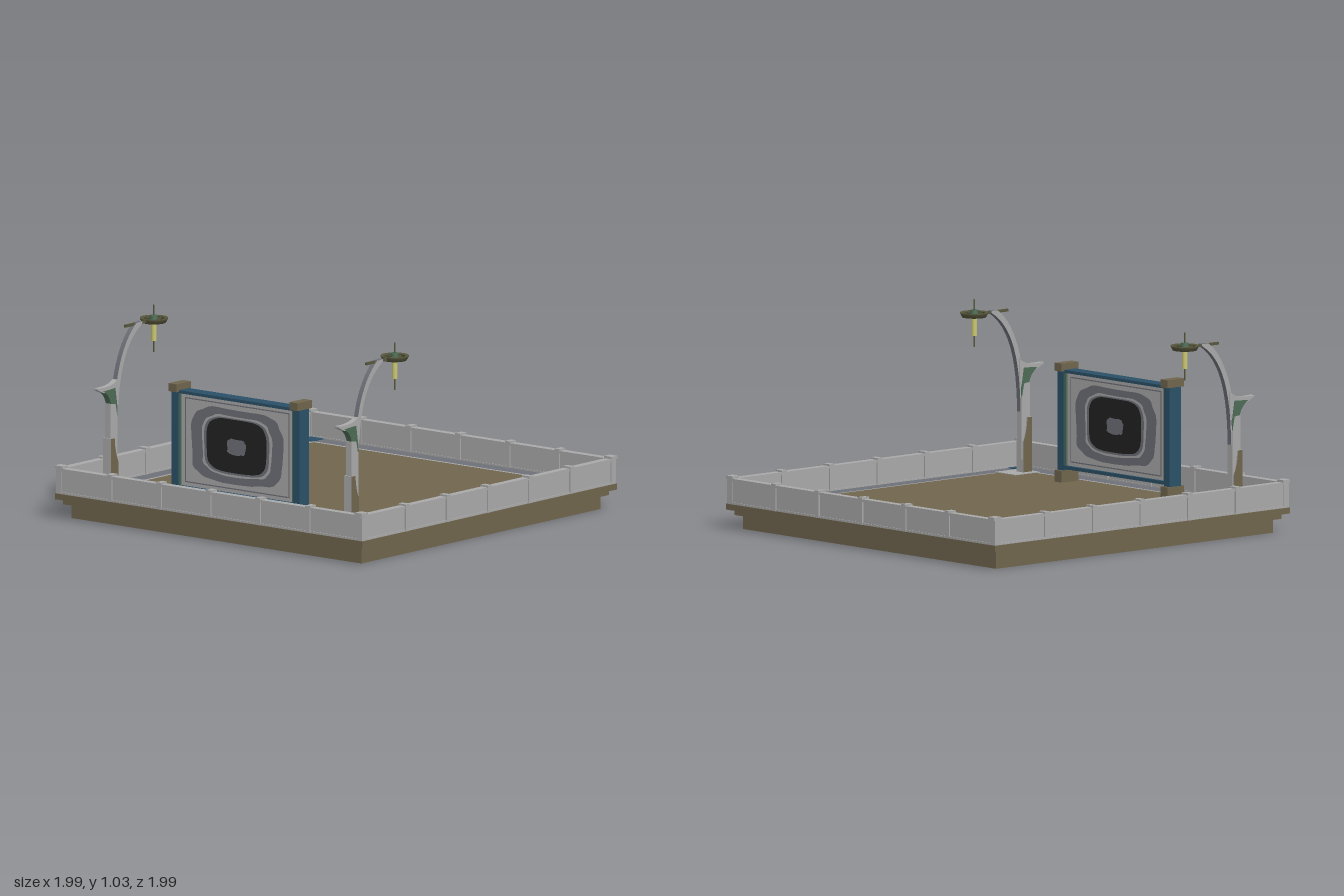
import * as THREE from 'three';

const mat = (name, color) => {
  const m = new THREE.MeshStandardMaterial({ color });
  m.name = name;
  return m;
};

export function createModel() {
  const root = new THREE.Group();
  root.name = 'walledCourt';
  const brown = mat('brown', 0x70654d), pale = mat('paleStone', 0xa9a9a9);
  const grey = mat('midGrey', 0x6e7079), blue = mat('blue', 0x2a5068);
  const green = mat('green', 0x4c6b55), black = mat('black', 0x222222);
  const yellow = mat('lampYellow', 0xc9c672), olive = mat('darkOlive', 0x57563c);

  const add = (parent, name, geo, material, x = 0, y = 0, z = 0) => {
    const m = new THREE.Mesh(geo, material);
    m.name = name;
    m.position.set(x, y, z);
    parent.add(m);
    return m;
  };
  // box given by its limits on each axis
  const box = (parent, name, material, x0, x1, y0, y1, z0, z1) =>
    add(parent, name, new THREE.BoxGeometry(x1 - x0, y1 - y0, z1 - z0), material,
      (x0 + x1) / 2, (y0 + y1) / 2, (z0 + z1) / 2);

  // stepped base
  const base = new THREE.Group();
  base.name = 'base';
  root.add(base);
  box(base, 'lowerStep', brown, -0.93, 0.93, 0, 0.07, -0.935, 0.935);
  box(base, 'middleStep', brown, -0.96, 0.96, 0.07, 0.097, -0.965, 0.965);
  box(base, 'upperStep', brown, -0.99, 0.99, 0.097, 0.127, -0.993, 0.993);

  // inlaid floor
  const floor = new THREE.Group();
  floor.name = 'floor';
  root.add(floor);
  box(floor, 'greyBorder', grey, -0.955, 0.955, 0.125, 0.129, -0.955, 0.955);
  box(floor, 'paleBorder', pale, -0.865, 0.865, 0.126, 0.131, -0.865, 0.865);
  box(floor, 'floorField', brown, -0.84, 0.84, 0.127, 0.133, -0.842, 0.842);
  for (const sx of [-1, 1]) for (const sz of [-1, 1]) {
    add(floor, 'cornerTile', new THREE.BoxGeometry(0.085, 0.006, 0.085), blue, sx * 0.907, 0.129, sz * 0.907);
  }
  for (const s of [-1, 1]) {
    add(floor, 'lampPad', new THREE.BoxGeometry(0.165, 0.009, 0.145), pale, -0.783, 0.1315, s * 0.79);
  }

  // parapet: four runs of panel, rails and posts
  const parapet = new THREE.Group();
  parapet.name = 'parapet';
  root.add(parapet);
  for (let side = 0; side < 4; side++) {
    const run = new THREE.Group();
    run.name = 'wallRun';
    run.rotation.y = side * Math.PI / 2;
    parapet.add(run);
    box(run, 'wallPanel', pale, -0.97, 0.97, 0.127, 0.25, 0.957, 0.983);
    box(run, 'topRail', pale, -0.98, 0.98, 0.243, 0.256, 0.95, 0.99);
    box(run, 'bottomRail', pale, -0.98, 0.98, 0.127, 0.137, 0.953, 0.988);
    for (let i = -2; i <= 2; i++) {
      const x = i * 0.32;
      box(run, 'post', pale, x - 0.012, x + 0.012, 0.127, 0.258, 0.95, 0.991);
      box(run, 'postCap', pale, x - 0.016, x + 0.016, 0.252, 0.265, 0.947, 0.995);
    }
    box(run, 'cornerPost', pale, 0.952, 0.988, 0.127, 0.258, 0.952, 0.988);
    box(run, 'cornerCap', pale, 0.945, 0.99, 0.252, 0.268, 0.945, 0.995);
  }

  // upright decorated screen
  const screen = new THREE.Group();
  screen.name = 'screen';
  screen.position.set(-0.757, 0, 0.01);
  root.add(screen);
  for (const s of [-1, 1]) {
    add(screen, 'screenPost', new THREE.BoxGeometry(0.076, 0.51, 0.042), blue, 0, 0.44, s * 0.392);
    add(screen, 'screenPostCap', new THREE.BoxGeometry(0.112, 0.04, 0.052), brown, 0, 0.71, s * 0.39);
    add(screen, 'screenFoot', new THREE.BoxGeometry(0.112, 0.062, 0.052), brown, 0, 0.161, s * 0.39);
    add(screen, 'greenTrim', new THREE.BoxGeometry(0.06, 0.47, 0.012), green, 0, 0.448, s * 0.366);
  }
  box(screen, 'topBeam', blue, -0.038, 0.038, 0.683, 0.698, -0.372, 0.372);
  box(screen, 'bottomBeam', blue, -0.038, 0.038, 0.2, 0.217, -0.372, 0.372);
  box(screen, 'panel', pale, -0.022, 0.022, 0.215, 0.685, -0.362, 0.362);

  // rounded outline, slightly wavy
  const blob = (w, h, wave) => {
    const pts = [];
    for (let i = 0; i < 64; i++) {
      const a = i / 64 * Math.PI * 2, c = Math.cos(a), s = Math.sin(a);
      const k = 1 + wave * (Math.sin(a * 7 + 1) + Math.sin(a * 11));
      pts.push(new THREE.Vector2(Math.sign(c) * Math.abs(c) ** 0.5 * w * k, Math.sign(s) * Math.abs(s) ** 0.5 * h * k));
    }
    return new THREE.Shape(pts);
  };
  const frame = (w, h, t) => {
    const rect = (a, b) => [[-a, -b], [a, -b], [a, b], [-a, b]].map(p => new THREE.Vector2(...p));
    const s = new THREE.Shape(rect(w, h));
    s.holes.push(new THREE.Path(rect(w - t, h - t)));
    return s;
  };
  const layers = [
    ['edgeLine', frame(0.336, 0.215, 0.006), grey, 0.45],
    ['greyField', blob(0.295, 0.188, 0.012), grey, 0.452],
    ['paleHalo', blob(0.225, 0.153, 0.012), pale, 0.453],
    ['innerField', blob(0.21, 0.143, 0.004), grey, 0.453],
    ['blackOval', blob(0.193, 0.135, 0.003), black, 0.455],
    ['centreSpot', blob(0.06, 0.04, 0.03), grey, 0.452],
  ];
  for (const s of [-1, 1]) layers.forEach(([name, shape, m, y], i) => {
    add(screen, name, new THREE.ShapeGeometry(shape), m, s * (0.0235 + i * 0.0015), y, 0).rotation.y = s * Math.PI / 2;
  });

  // side outlines of the lamp standard, drawn in x and y
  const plate = (parent, name, shape, depth, mats) => add(parent, name,
    new THREE.ExtrudeGeometry(shape, { depth, bevelEnabled: false, curveSegments: 12 }), mats, 0, 0, -depth / 2);

  const plinth = new THREE.Shape();
  plinth.moveTo(-0.845, 0.13);
  plinth.lineTo(-0.787, 0.13);
  plinth.lineTo(-0.787, 0.29);
  plinth.quadraticCurveTo(-0.812, 0.34, -0.815, 0.41);
  plinth.lineTo(-0.845, 0.41);

  const shaft = new THREE.Shape();
  shaft.moveTo(-0.84, 0.2);
  shaft.lineTo(-0.783, 0.2);
  shaft.lineTo(-0.783, 0.5);
  shaft.lineTo(-0.8, 0.58);
  shaft.lineTo(-0.838, 0.585);

  const bracket = new THREE.Shape();
  bracket.moveTo(-0.89, 0.655);
  bracket.quadraticCurveTo(-0.82, 0.61, -0.835, 0.54);
  bracket.quadraticCurveTo(-0.81, 0.49, -0.787, 0.44);
  bracket.lineTo(-0.783, 0.56);
  bracket.lineTo(-0.8, 0.66);

  const spur = new THREE.Shape();
  spur.moveTo(-0.935, 0.668);
  spur.lineTo(-0.885, 0.645);
  spur.quadraticCurveTo(-0.82, 0.655, -0.795, 0.56);
  spur.lineTo(-0.77, 0.6);
  spur.lineTo(-0.77, 0.71);
  spur.quadraticCurveTo(-0.81, 0.665, -0.935, 0.675);

  const arm = new THREE.Shape();
  arm.moveTo(-0.797, 0.44);
  arm.lineTo(-0.78, 0.44);
  arm.bezierCurveTo(-0.775, 0.7, -0.73, 0.87, -0.585, 0.955);
  arm.lineTo(-0.585, 0.965);
  arm.lineTo(-0.63, 0.963);
  arm.bezierCurveTo(-0.72, 0.9, -0.795, 0.75, -0.797, 0.56);

  const ringProfile = [[0.053, 0.965], [0.053, 0.95], [0.06, 0.943], [0.07, 0.962], [0.07, 0.968], [0.053, 0.965]]
    .map(p => new THREE.Vector2(...p));

  for (const z of [-0.777, 0.777]) {
    const lamp = new THREE.Group();
    lamp.name = 'lampStandard';
    lamp.position.z = z;
    root.add(lamp);
    plate(lamp, 'plinth', plinth, 0.05, [brown, pale]);
    plate(lamp, 'shaft', shaft, 0.036, pale);
    plate(lamp, 'bracket', bracket, 0.034, green);
    plate(lamp, 'spur', spur, 0.03, pale);
    plate(lamp, 'arm', arm, 0.026, [pale, grey]);
    box(lamp, 'armBar', olive, -0.705, -0.54, 0.95, 0.963, -0.006, 0.006);

    // hanging lantern with its ring
    const lantern = new THREE.Group();
    lantern.name = 'lantern';
    lantern.position.x = -0.48;
    lamp.add(lantern);
    const ring = new THREE.LatheGeometry(ringProfile, 28);
    const ringMat = olive.clone();
    ringMat.side = THREE.DoubleSide;
    add(lantern, 'ring', ring, ringMat);
    for (let i = 0; i < 2; i++) {
      add(lantern, 'spoke', new THREE.BoxGeometry(0.115, 0.008, 0.008), olive, 0, 0.957, 0).rotation.y = i * Math.PI / 2;
    }
    add(lantern, 'hub', new THREE.CylinderGeometry(0.018, 0.022, 0.03, 16), green, 0, 0.965, 0);
    add(lantern, 'lightTube', new THREE.CylinderGeometry(0.014, 0.014, 0.1, 16), yellow, 0, 0.9, 0);
    add(lantern, 'spindle', new THREE.CylinderGeometry(0.004, 0.004, 0.24, 8), olive, 0, 0.912, 0);
  }
  return root;
}
